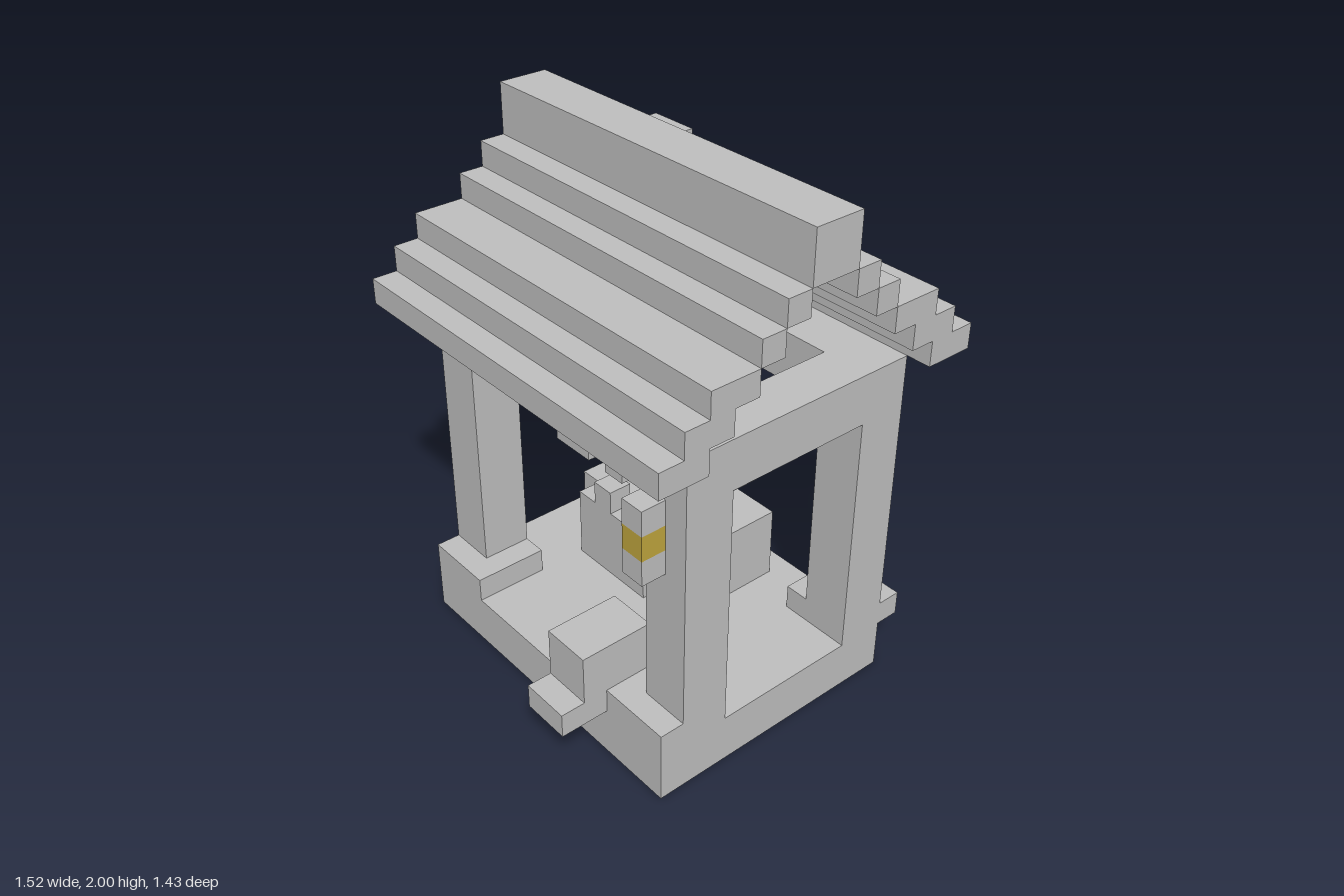
import * as THREE from 'three';

// One block is 2/21 units; all part limits below are counted in blocks.
const U = 2 / 21;

export function createModel() {
  const model = new THREE.Group();
  model.name = 'blockHut';
  const stone = new THREE.MeshStandardMaterial({ color: 0xc0c0c0 });
  stone.name = 'pale grey';
  const glow = new THREE.MeshStandardMaterial({ color: 0xc0a63e });
  glow.name = 'lamp yellow';

  const group = (name) => {
    const g = new THREE.Group();
    g.name = name;
    model.add(g);
    return g;
  };
  const block = (parent, name, [x0, x1], [y0, y1], [z0, z1], material = stone) => {
    const mesh = new THREE.Mesh(
      new THREE.BoxGeometry((x1 - x0) * U, (y1 - y0) * U, (z1 - z0) * U), material);
    mesh.position.set((x0 + x1) / 2 * U, (y0 + y1) / 2 * U, (z0 + z1) / 2 * U);
    mesh.name = name;
    parent.add(mesh);
  };

  // Floor slab, with a foot and a pillar at each corner
  const frame = group('frame');
  block(frame, 'floor', [-7, 7], [0, 2], [-5.5, 5.5]);
  for (const s of [-1, 1]) {
    const span = (a, b) => (s > 0 ? [a, b] : [-b, -a]);
    block(frame, 'frontFoot', span(4, 7), [2, 3], [2.5, 5.5]);
    block(frame, 'backFoot', span(4, 7), [2, 3], [-6.5, -3.5]);
    block(frame, 'frontPillar', span(5, 7), [3, 12], [2.5, 4.5]);
    block(frame, 'backPillar', span(5, 7), [3, 12], [-5.5, -3.5]);
    block(frame, 'sideBeam', span(5, 7), [12, 14], [-3.5, 2.5]);
  }
  block(frame, 'frontBeam', [-7, 7], [12, 14], [2.5, 4.5]);
  block(frame, 'backBeam', [-7, 7], [12, 14], [-5.5, -3.5]);

  // Stepped roof, mirrored about the ridge line at z = -0.5
  const roof = group('roof');
  block(roof, 'ridge', [-8, 8], [19, 21], [-1.5, 0.5]);
  const steps = [[18, 1, 2], [17, 2, 3], [16, 3, 5], [15, 4, 6], [14, 5, 7]];
  for (const [y, near, far] of steps) {
    block(roof, 'frontRoofStep', [-8, 8], [y, y + 1], [near - 0.5, far - 0.5]);
    block(roof, 'backRoofStep', [-8, 8], [y, y + 1], [-far - 0.5, -near - 0.5]);
  }

  // Oven with a stepped front and a chimney pipe through the roof
  const oven = group('oven');
  block(oven, 'ovenBody', [-5, 2], [2, 5], [-4.5, -0.5]);
  [5, 6, 5, 4].forEach((top, i) =>
    block(oven, 'ovenFront', [i - 4, i - 3], [2, top], [-0.5, 0.5]));
  block(oven, 'chimneyPipe', [-4, -3], [5, 19], [-3.5, -2.5]);
  block(oven, 'chimneyCap', [-4, -2], [19, 20], [-3.5, -1.5]);

  // Hanging sign cut out of blocks
  const sign = group('hangingSign');
  const signZ = [0.5, 1.5];
  block(sign, 'signTop', [-4, -1], [11, 12], signZ);
  block(sign, 'signPost', [-3, -2], [9, 11], signZ);
  block(sign, 'signMiddle', [-2, -1], [9, 10], signZ);
  block(sign, 'signFoot', [-4, -2], [8, 9], signZ);
  block(sign, 'signSide', [-1, 0], [8, 12], signZ);

  // Bracket under the left beam
  block(model, 'hangingBracket', [2, 5], [10, 12], [-0.5, 1.5]);

  // Seat at the front edge
  const seat = group('frontSeat');
  block(seat, 'seatTop', [2, 4], [3, 5], [3.5, 6.5]);
  block(seat, 'seatStep', [2, 4], [2, 3], [5.5, 7.5]);

  // Lamp on the front pillar
  const lamp = group('lamp');
  block(lamp, 'lampBase', [5, 6], [9, 10], [4.5, 5.5]);
  block(lamp, 'lampLight', [5, 6], [10, 11], [4.5, 5.5], glow);
  block(lamp, 'lampCap', [5, 6], [11, 12], [4.5, 5.5]);

  return model;
}
